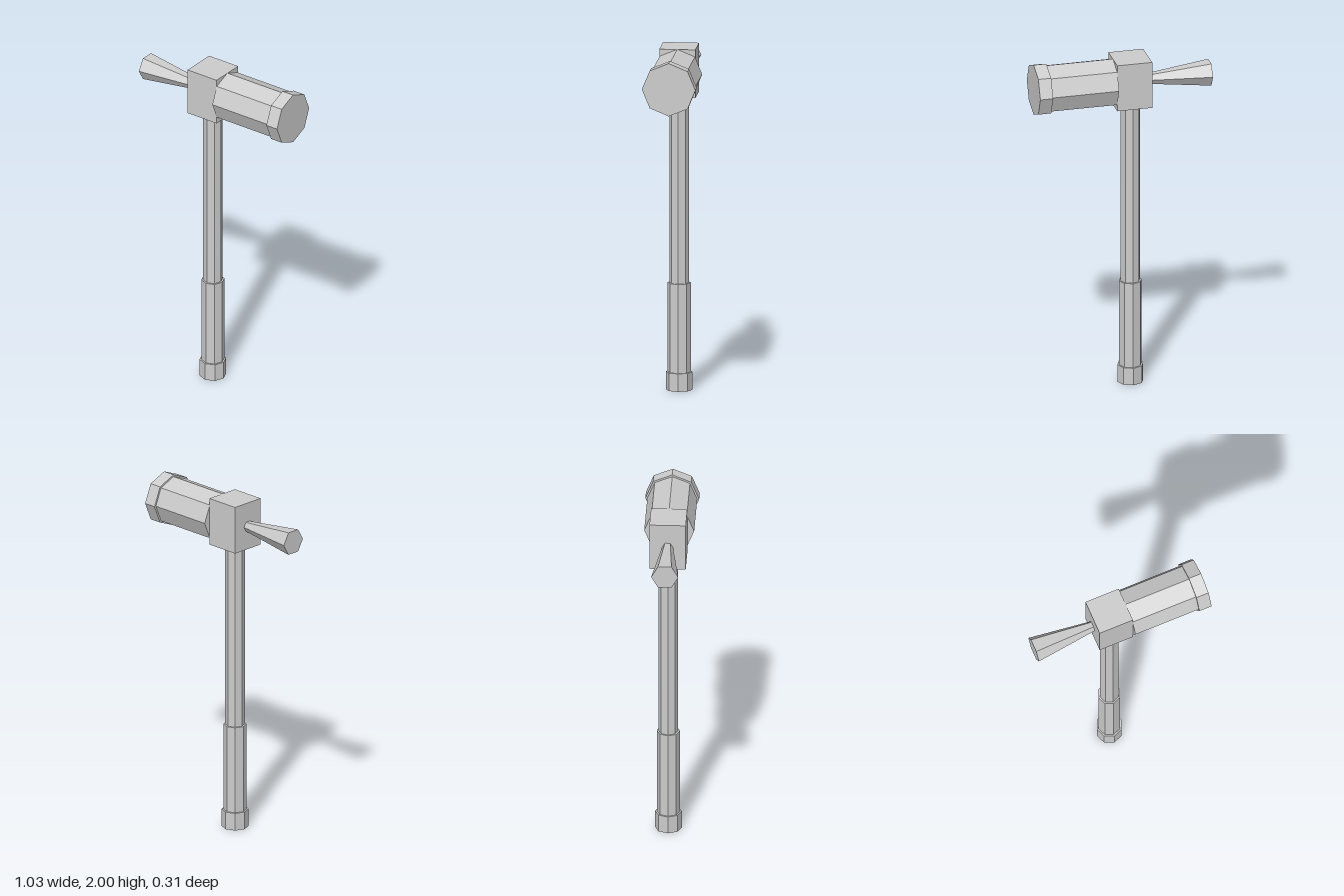
import * as THREE from 'three';

const HANDLE_X = -0.052;
const HEAD_Y = 1.848;

export function createModel() {
  const group = new THREE.Group();
  const grey = new THREE.MeshStandardMaterial({ color: 0xcccccc, flatShading: true });
  grey.name = 'light grey';

  function add(name, geometry, x, y) {
    const mesh = new THREE.Mesh(geometry, grey);
    mesh.name = name;
    mesh.position.set(x, y, 0);
    group.add(mesh);
    return mesh;
  }

  // Upright octagonal piece of the handle
  function upright(name, radius, y0, y1) {
    add(name, new THREE.CylinderGeometry(radius, radius, y1 - y0, 8), HANDLE_X, (y0 + y1) / 2);
  }

  // Sideways prism of the head, from x0 (radius r0) to x1 (radius r1)
  function sideways(name, x0, x1, r0, r1, sides) {
    const mesh = add(name, new THREE.CylinderGeometry(r1, r0, x1 - x0, sides), (x0 + x1) / 2, HEAD_Y);
    mesh.rotation.z = -Math.PI / 2;
  }

  // Handle
  upright('pommel', 0.076, 0, 0.104);
  upright('grip', 0.066, 0.104, 0.62);
  upright('shaft', 0.056, 0.62, 1.71);

  // Head
  add('headBlock', new THREE.BoxGeometry(0.205, 0.28, 0.206), HANDLE_X, HEAD_Y + 0.001);
  sideways('hammerBarrel', 0.05, 0.44, 0.142, 0.142, 8);
  sideways('hammerFace', 0.44, 0.515, 0.153, 0.153, 8);
  sideways('rearWedge', -0.518, -0.154, 0.077, 0.031, 6);

  return group;
}
